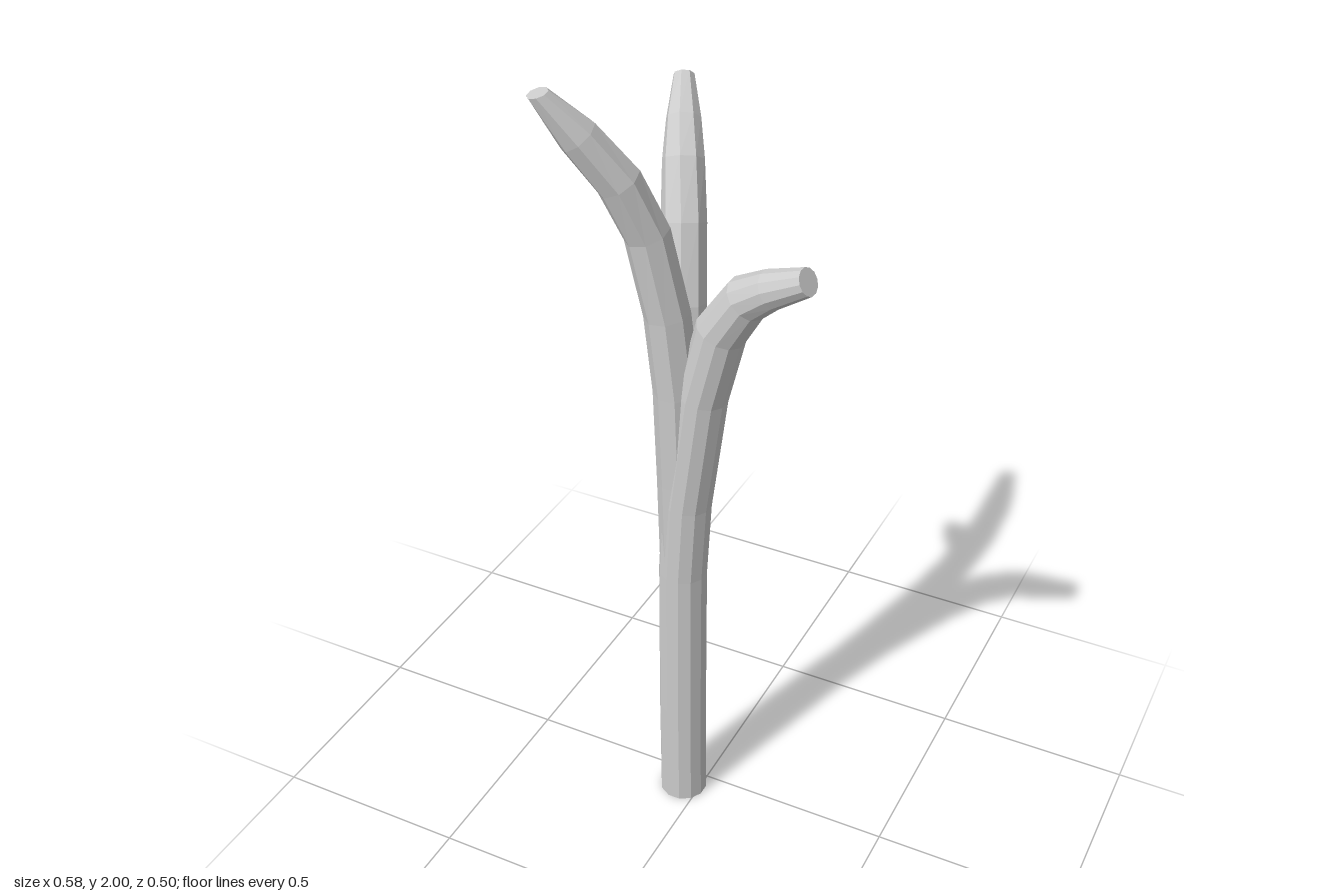
import * as THREE from 'three';

const material = new THREE.MeshStandardMaterial({ color: 0xcccccc, flatShading: true, side: THREE.DoubleSide });

// Capped tube through stations [x, y, z, radius]; tipNormal tilts the last ring.
function limb(name, stations, sides, tipNormal) {
  const centres = stations.map(([x, y, z]) => new THREE.Vector3(x, y, z));
  const last = centres.length - 1;
  const positions = [];
  const index = [];

  centres.forEach((c, i) => {
    let t = new THREE.Vector3();
    if (i > 0) t.add(c.clone().sub(centres[i - 1]).normalize());
    if (i < last) t.add(centres[i + 1].clone().sub(c).normalize());
    if (i === 0) t.set(0, 1, 0);
    if (i === last && tipNormal) t.set(...tipNormal);
    t.normalize();
    const v = new THREE.Vector3(0, 0, 1).addScaledVector(t, -t.z).normalize();
    const u = t.clone().cross(v);
    for (let j = 0; j < sides; j++) {
      const a = ((j + 0.5) / sides) * Math.PI * 2;
      const p = c.clone()
        .addScaledVector(u, Math.cos(a) * stations[i][3])
        .addScaledVector(v, Math.sin(a) * stations[i][3]);
      positions.push(p.x, p.y, p.z);
    }
  });

  // Side walls
  for (let i = 0; i < last; i++) {
    for (let j = 0; j < sides; j++) {
      const k = (j + 1) % sides;
      const a = i * sides + j, b = a + sides, c = i * sides + k, d = c + sides;
      index.push(a, b, c, c, b, d);
    }
  }
  // End caps
  const top = last * sides;
  for (let j = 1; j < sides - 1; j++) {
    index.push(0, j, j + 1);
    index.push(top, top + j + 1, top + j);
  }

  const geometry = new THREE.BufferGeometry();
  geometry.setAttribute('position', new THREE.Float32BufferAttribute(positions, 3));
  geometry.setIndex(index);
  geometry.computeVertexNormals();
  const mesh = new THREE.Mesh(geometry, material);
  mesh.name = name;
  return mesh;
}

export function createModel() {
  const group = new THREE.Group();
  group.name = 'forkedTrunk';

  // Trunk, bending over into the lowest branch on the left (+x)
  group.add(limb('trunkAndLeftBranch', [
    [-0.045, 0, 0.05, 0.061],
    [-0.045, 0.3, 0.05, 0.061],
    [-0.041, 0.73, 0.05, 0.06],
    [-0.028, 0.94, 0.05, 0.06],
    [0.014, 1.25, 0.05, 0.06],
    [0.06, 1.43, 0.05, 0.06],
    [0.125, 1.53, 0.057, 0.055],
    [0.19, 1.575, 0.072, 0.045],
    [0.277, 1.619, 0.084, 0.032],
  ], 12));

  // Tall branch leaning to the front right
  group.add(limb('frontRightBranch', [
    [-0.042, 0.6, 0.052, 0.052],
    [-0.045, 1.0, 0.055, 0.054],
    [-0.048, 1.25, 0.06, 0.055],
    [-0.064, 1.45, 0.07, 0.054],
    [-0.098, 1.65, 0.092, 0.053],
    [-0.14, 1.78, 0.133, 0.052],
    [-0.205, 1.89, 0.183, 0.046],
    [-0.265, 1.99, 0.233, 0.024],
  ], 8, [-0.2, 1, 0.2]));

  // Branch leaning to the back right
  group.add(limb('backRightBranch', [
    [-0.042, 0.6, 0.048, 0.052],
    [-0.045, 1.0, 0.046, 0.054],
    [-0.05, 1.25, 0.036, 0.054],
    [-0.058, 1.45, 0.005, 0.054],
    [-0.08, 1.62, -0.046, 0.052],
    [-0.11, 1.74, -0.105, 0.048],
    [-0.137, 1.81, -0.16, 0.04],
    [-0.17, 1.882, -0.228, 0.024],
  ], 8));

  return group;
}
